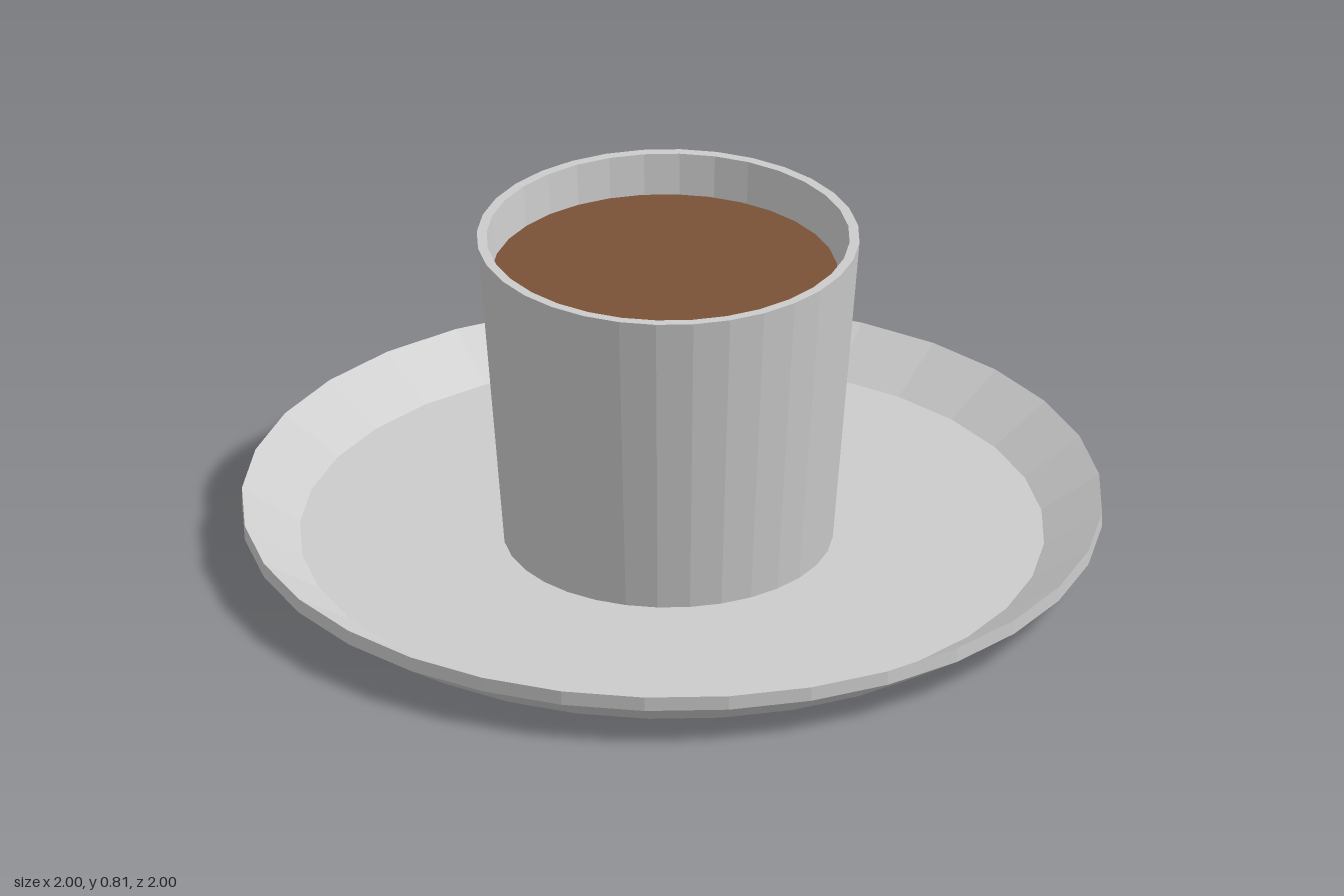
import * as THREE from 'three';

const SIDES = 32;

// Revolves a profile of [radius, height] pairs into a faceted part
function turned(name, profile, color = 0xcccccc) {
  const points = profile.map(([r, y]) => new THREE.Vector2(r, y));
  const material = new THREE.MeshStandardMaterial({ color, flatShading: true });
  const mesh = new THREE.Mesh(new THREE.LatheGeometry(points, SIDES), material);
  mesh.name = name;
  return mesh;
}

export function createModel() {
  const model = new THREE.Group();
  model.name = 'cupAndSaucer';

  // Saucer: flat base, flared side, upright lip, sloping inside and floor
  const saucer = turned('saucer', [
    [0, 0], [0.865, 0], [1, 0.09], [1, 0.125], [0.865, 0.04], [0, 0.04],
  ]);

  // Cup: tapered thin wall standing on the saucer floor
  const cup = turned('cup', [
    [0, 0.04], [0.383, 0.04], [0.445, 0.81], [0.422, 0.81], [0.362, 0.065], [0, 0.065],
  ]);
  cup.position.x = -0.01;

  // Coffee: flat disc a little below the rim
  const coffee = new THREE.Mesh(
    new THREE.CircleGeometry(0.403, SIDES),
    new THREE.MeshStandardMaterial({ color: 0x7a5236, side: THREE.DoubleSide }),
  );
  coffee.name = 'coffee';
  coffee.rotation.x = -Math.PI / 2;
  coffee.position.set(-0.02, 0.71, -0.003);

  model.add(saucer, cup, coffee);
  return model;
}
